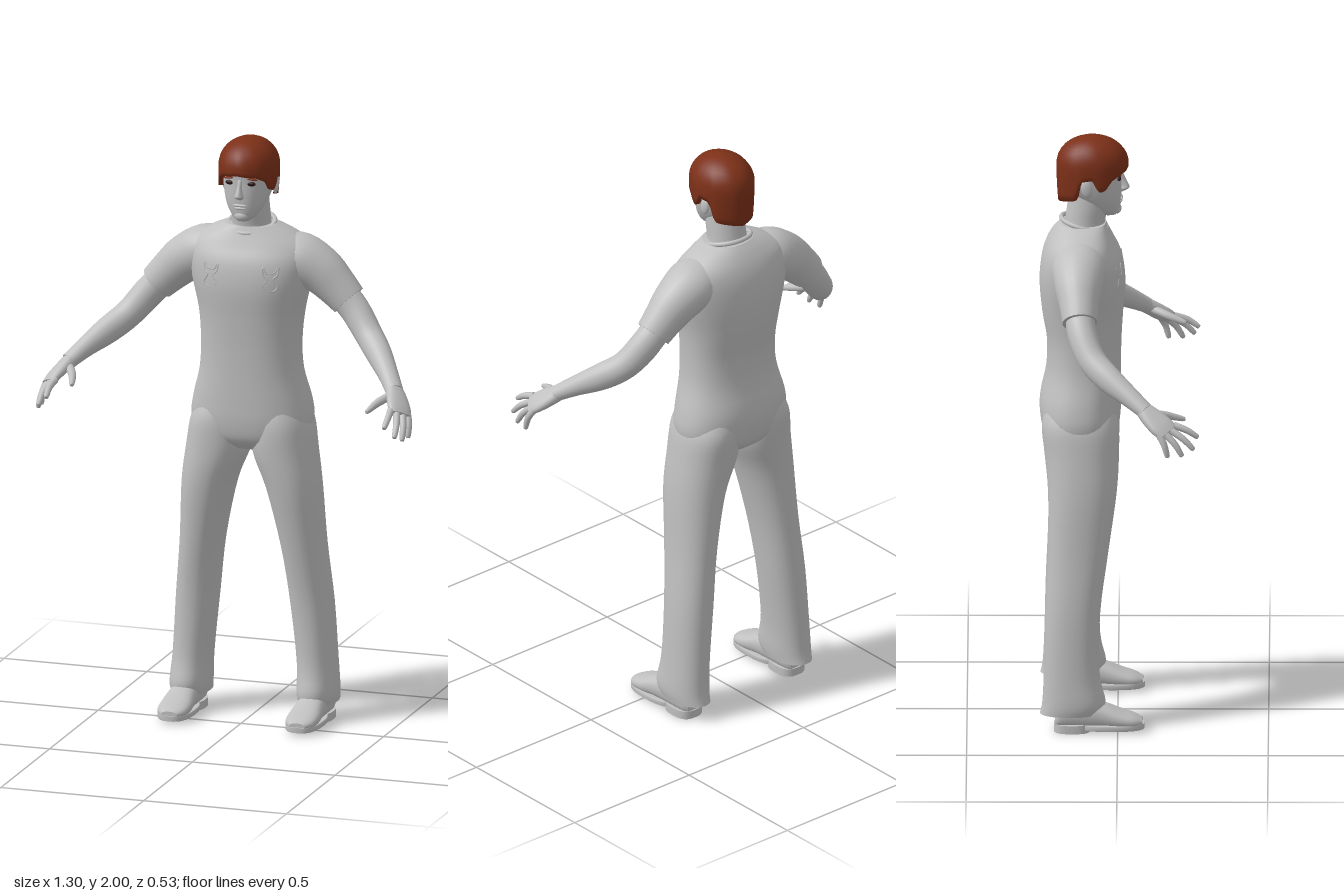
import * as THREE from 'three';

const V = (x, y, z) => new THREE.Vector3(x, y, z);
const Y = V(0, 1, 0), X = V(1, 0, 0), Z = V(0, 0, 1);

// Catmull-Rom refinement of rows of numbers
function refine(rows, sub) {
  const out = [], n = rows.length - 1;
  for (let i = 0; i < n; i++) {
    const p = [Math.max(i - 1, 0), i, i + 1, Math.min(i + 2, n)].map(k => rows[k]);
    for (let s = 0; s < sub; s++) {
      const t = s / sub;
      out.push(p[1].map((b, k) => {
        const a = p[0][k], c = p[2][k], d = p[3][k];
        return b + 0.5 * t * (c - a + t * (2 * a - 5 * b + 4 * c - d + t * (3 * (b - c) + d - a)));
      }));
    }
  }
  out.push(rows[n]);
  return out;
}

// Capped skin over superellipse rings [x, y, z, ru, rv]; without an axis the rings follow the path
function loft(rows, { axis, ref = X, e = 2, n = 24, sub = 4 } = {}) {
  const rings = refine(rows, sub), pos = [], idx = [];
  const at = r => V(r[0], r[1], r[2]);
  const power = c => Math.sign(c) * Math.abs(c) ** (2 / e);
  const pts = rings.map((r, j) => {
    const w = axis ? axis.clone() : at(rings[Math.min(j + 1, rings.length - 1)]).sub(at(rings[Math.max(j - 1, 0)])).normalize();
    const u = ref.clone().addScaledVector(w, -ref.dot(w)).normalize();
    const v = w.clone().cross(u);
    return Array.from({ length: n }, (_, i) => {
      const a = i / n * Math.PI * 2;
      return at(r).addScaledVector(u, r[3] * power(Math.cos(a))).addScaledVector(v, r[4] * power(Math.sin(a)));
    });
  });
  pts.flat().forEach(p => pos.push(p.x, p.y, p.z));
  for (let j = 0; j < rings.length - 1; j++) for (let i = 0; i < n; i++) {
    const a = j * n + i, b = j * n + (i + 1) % n;
    idx.push(a, b, b + n, a, b + n, a + n);
  }
  for (const [j, flip] of [[0, true], [rings.length - 1, false]]) {
    const base = pos.length / 3;
    [...pts[j], at(rings[j])].forEach(p => pos.push(p.x, p.y, p.z));
    for (let i = 0; i < n; i++) {
      const a = base + i, b = base + (i + 1) % n;
      idx.push(...(flip ? [b, a, base + n] : [a, b, base + n]));
    }
  }
  const g = new THREE.BufferGeometry();
  g.setAttribute('position', new THREE.Float32BufferAttribute(pos, 3));
  g.setIndex(idx);
  g.computeVertexNormals();
  return g;
}

// Horizontal section from height, half width, front z, back z and centre x
const section = (y, rx, zf, zb, x = 0) => [x, y, (zf + zb) / 2, rx, (zf - zb) / 2];

// Hair shell whose lower edge dips at the sideburns and nape
function hairGeometry() {
  const edge = [[0, 1.893], [0.6, 1.885], [1, 1.865], [1.22, 1.832], [1.42, 1.832], [1.55, 1.872], [1.92, 1.865], [2.1, 1.795], [3.15, 1.775]];
  const n = 64, m = 14, pos = [], idx = [];
  for (let j = 0; j <= m + 1; j++) for (let i = 0; i < n; i++) {
    const a = i / n * Math.PI * 2, f = Math.min(a, Math.PI * 2 - a);
    const k = edge.findIndex((p, q) => q && f <= p[0]), [a0, y0] = edge[k - 1], [a1, y1] = edge[k];
    const low = y0 + (y1 - y0) * (f - a0) / (a1 - a0);
    const t = Math.max(j - 1, 0) / m;
    const y = low + (2 - low) * Math.sin(t * Math.PI / 2);
    let r = y > 1.9 ? Math.max(0, 1 - ((y - 1.9) / 0.1) ** 2.2) ** 0.5 : 1 - 4 * (1.9 - y) ** 2;
    if (j === 0) r *= 0.82;
    r *= 1 + 0.012 * Math.sin(a * 9 + t * 5) * (1 - t);
    pos.push(0.1 * r * Math.sin(a), y, -0.085 + 0.12 * r * Math.cos(a));
    if (j <= m) {
      const p = j * n + i, q = j * n + (i + 1) % n;
      idx.push(p, q, q + n, p, q + n, p + n);
    }
  }
  const g = new THREE.BufferGeometry();
  g.setAttribute('position', new THREE.Float32BufferAttribute(pos, 3));
  g.setIndex(idx);
  g.computeVertexNormals();
  return g;
}

export function createModel() {
  const model = new THREE.Group();
  const grey = new THREE.MeshStandardMaterial({ color: 0xc0c0c0 });
  grey.name = 'plain grey';
  const brown = new THREE.MeshStandardMaterial({ color: 0x7c3018 });
  brown.name = 'red brown hair';
  const dark = new THREE.MeshStandardMaterial({ color: 0x2a1512 });
  dark.name = 'dark eye';
  const add = (name, geo, mat = grey) => {
    const m = new THREE.Mesh(geo, mat);
    m.name = name;
    model.add(m);
    return m;
  };
  const ball = (name, p, s, mat) => {
    const m = add(name, new THREE.SphereGeometry(1, 16, 12), mat);
    m.position.set(...p);
    m.scale.set(...s);
    return m;
  };

  // Torso and hips
  add('torso', loft([
    section(0.935, 0.09, -0.04, -0.2), section(0.97, 0.185, -0.005, -0.24), section(1.03, 0.208, 0.008, -0.257),
    section(1.1, 0.2, 0.01, -0.258), section(1.2, 0.175, 0.01, -0.238), section(1.3, 0.17, 0.012, -0.236),
    section(1.4, 0.178, 0.018, -0.252), section(1.5, 0.2, 0.025, -0.26), section(1.58, 0.215, 0.014, -0.253),
    section(1.635, 0.205, -0.012, -0.235), section(1.675, 0.145, -0.03, -0.21), section(1.7, 0.088, -0.04, -0.187),
  ], { axis: Y, e: 2.3, n: 40 }));

  // Neck and round collar
  add('neck', loft([[0, 1.64, -0.115, 0.078, 0.07], [0, 1.7, -0.11, 0.067, 0.067], [0, 1.76, -0.1, 0.064, 0.068], [0, 1.82, -0.095, 0.06, 0.065]], { axis: Y }));
  const collar = add('collar', new THREE.TorusGeometry(0.078, 0.008, 8, 40));
  collar.rotation.x = Math.PI / 2 + 0.25;
  collar.position.set(0, 1.697, -0.112);

  // Head and face
  add('head', loft([
    section(1.728, 0.022, -0.005, -0.06), section(1.745, 0.042, 0.006, -0.09), section(1.78, 0.064, 0.011, -0.13),
    section(1.82, 0.077, 0.013, -0.17), section(1.87, 0.085, 0.013, -0.19), section(1.92, 0.088, 0.016, -0.192),
    section(1.965, 0.065, -0.01, -0.16),
  ], { axis: Y, e: 2.2, n: 32 }));
  add('hair', hairGeometry(), brown);
  add('nose', loft([section(1.806, 0.008, 0.016, 0), section(1.817, 0.016, 0.037, 0), section(1.828, 0.012, 0.037, 0),
    section(1.85, 0.008, 0.026, 0), section(1.875, 0.008, 0.016, 0)], { axis: Y, n: 12 }));
  ball('upperLip', [0, 1.786, 0.011], [0.026, 0.005, 0.006]);
  ball('lowerLip', [0, 1.776, 0.01], [0.021, 0.005, 0.006]);
  ball('chin', [0, 1.747, -0.004], [0.025, 0.018, 0.016]);

  for (const s of [1, -1]) {
    const side = s > 0 ? 'left' : 'right';
    const mirror = rows => rows.map(([x, ...rest]) => [x * s, ...rest]);

    // Eyes, brows and ears
    ball(side + 'Eye', [s * 0.037, 1.862, 0.004], [0.016, 0.008, 0.007], dark);
    ball(side + 'Brow', [s * 0.039, 1.879, 0.006], [0.022, 0.004, 0.007], brown).rotation.z = -s * 0.1;
    ball(side + 'Ear', [s * 0.088, 1.84, -0.102], [0.01, 0.032, 0.019]).rotation.x = -0.2;

    // Short sleeve
    add(side + 'Sleeve', loft(mirror([
      [0.1, 1.6, -0.125, 0.07, 0.08], [0.165, 1.585, -0.128, 0.086, 0.092], [0.235, 1.548, -0.13, 0.08, 0.08],
      [0.29, 1.5, -0.128, 0.07, 0.066], [0.335, 1.455, -0.125, 0.062, 0.058],
    ]), { ref: Y }));

    // Bare arm
    add(side + 'Arm', loft(mirror([
      [0.3, 1.49, -0.126, 0.05, 0.05], [0.36, 1.425, -0.118, 0.052, 0.048], [0.42, 1.353, -0.085, 0.048, 0.046],
      [0.475, 1.305, -0.03, 0.046, 0.042], [0.53, 1.26, 0.04, 0.034, 0.034], [0.57, 1.222, 0.095, 0.026, 0.03],
    ]), { ref: Y }));

    // Hand with four fingers and a thumb
    const across = V(-0.045 * s, 0.02, 0.06);
    add(side + 'Palm', loft(mirror([
      [0.56, 1.232, 0.08, 0.026, 0.024], [0.585, 1.205, 0.115, 0.038, 0.021], [0.605, 1.18, 0.148, 0.043, 0.018], [0.617, 1.163, 0.17, 0.038, 0.013],
    ]), { ref: across, e: 2.4, n: 20 }));
    const fingers = {
      index: [[0.587, 1.18, 0.187], [0.593, 1.165, 0.23], [0.592, 1.142, 0.264]],
      middle: [[0.605, 1.17, 0.175], [0.619, 1.143, 0.218], [0.623, 1.11, 0.25]],
      ring: [[0.62, 1.162, 0.157], [0.633, 1.13, 0.19], [0.637, 1.092, 0.213]],
      little: [[0.63, 1.162, 0.138], [0.641, 1.13, 0.155], [0.642, 1.09, 0.166]],
      thumb: [[0.562, 1.21, 0.115], [0.535, 1.197, 0.165], [0.518, 1.18, 0.218]],
    };
    for (const [name, [a, b, c]] of Object.entries(fingers)) {
      const k = name === 'thumb' ? 1.25 : 1;
      const tip = c.map((v, i) => v + (c[i] - b[i]) * 0.12);
      add(side + name[0].toUpperCase() + name.slice(1), loft(mirror([
        [...a, 0.012 * k, 0.012 * k], [...b, 0.011 * k, 0.011 * k], [...c, 0.0085, 0.0085], [...tip, 0.003, 0.003],
      ]), { ref: across, n: 10, sub: 3 }));
    }

    // Trouser leg, flared at the hem
    add(side + 'Leg', loft(mirror([
      section(0.06, 0.062, -0.055, -0.258, 0.222), section(0.1, 0.067, -0.04, -0.25, 0.222), section(0.2, 0.065, -0.06, -0.245, 0.217),
      section(0.4, 0.07, -0.058, -0.24, 0.2), section(0.6, 0.073, -0.032, -0.232, 0.177), section(0.8, 0.09, -0.004, -0.231, 0.148),
      section(0.93, 0.107, 0.004, -0.243, 0.115), section(1.03, 0.097, 0.002, -0.252, 0.108), section(1.1, 0.07, -0.02, -0.23, 0.1),
    ]), { axis: Y, e: 2.2, n: 32 }));

    // Shoe upper, sole and heel
    const fx = s * 0.224;
    add(side + 'Shoe', loft([
      [fx, 0.04, -0.207, 0.03, 0.025], [fx, 0.055, -0.185, 0.045, 0.042], [fx, 0.06, -0.11, 0.047, 0.05], [fx, 0.055, -0.05, 0.049, 0.042],
      [fx, 0.042, 0.01, 0.055, 0.03], [fx, 0.035, 0.055, 0.05, 0.021], [fx, 0.03, 0.083, 0.028, 0.012],
    ], { axis: Z, e: 2.3 }));
    add(side + 'Sole', loft([0.01, 0.012, 0.026, 0.028].map((y, i) => section(y, i % 3 ? 0.059 : 0.056, 0.089, -0.13, fx)),
      { axis: Y, e: 2.6, n: 32, sub: 1 }));
    add(side + 'Heel', loft([0, 0.028].map(y => section(y, 0.05, -0.09, -0.212, fx)), { axis: Y, e: 2.8, sub: 1 }));

    // Raised folds on the chest
    const fold = [[-0.025, 1.578], [-0.012, 1.56], [0.012, 1.562], [0.024, 1.578], [0.022, 1.553], [0.01, 1.54],
      [0.024, 1.515], [0.014, 1.5], [-0.012, 1.502], [-0.024, 1.518], [-0.01, 1.538], [-0.024, 1.556]];
    const curve = new THREE.CatmullRomCurve3(fold.map(([x, y]) => V(s * (0.104 + x), y, 0.006 - x * 0.3 - Math.max(0, y - 1.54) * 0.15)), true);
    add(side + 'ChestFold', new THREE.TubeGeometry(curve, 60, 0.004, 6, true));
  }
  return model;
}
